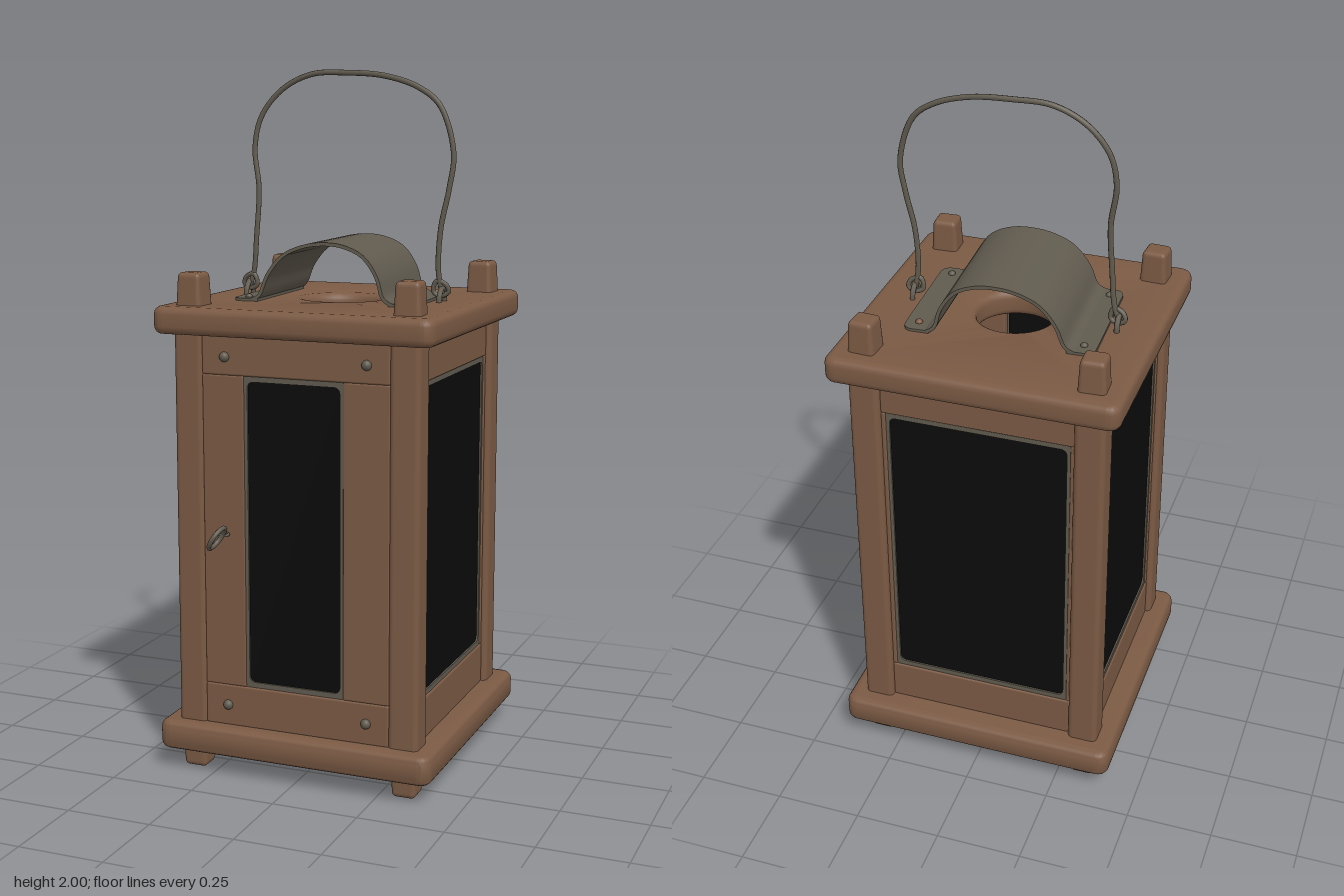
import * as THREE from 'three';
import { RoundedBoxGeometry } from 'three/addons/geometries/RoundedBoxGeometry.js';
import { toCreasedNormals } from 'three/addons/utils/BufferGeometryUtils.js';

const wood = new THREE.MeshStandardMaterial({ name: 'brown wood', color: 0x7b5a44 });
const metal = new THREE.MeshStandardMaterial({ name: 'aged metal', color: 0x615b4f });
const glass = new THREE.MeshStandardMaterial({ name: 'black glass', color: 0x0b0b0b });
const CZ = -0.0275; // depth centre of the body

function add(parent, name, geometry, material, x = 0, y = 0, z = 0) {
  const mesh = new THREE.Mesh(geometry, material);
  mesh.name = name;
  mesh.position.set(x, y, z);
  parent.add(mesh);
  return mesh;
}

const board = (w, h, d, r = 0.012) => new RoundedBoxGeometry(w, h, d, 3, r);

// Rounded rectangle centred on the origin
function roundRect(w, h, r, Type = THREE.Shape) {
  const s = new Type(), x = w / 2, y = h / 2;
  s.moveTo(-x + r, -y).lineTo(x - r, -y).quadraticCurveTo(x, -y, x, -y + r);
  s.lineTo(x, y - r).quadraticCurveTo(x, y, x - r, y);
  s.lineTo(-x + r, y).quadraticCurveTo(-x, y, -x, y - r);
  s.lineTo(-x, -y + r).quadraticCurveTo(-x, -y, -x + r, -y);
  return s;
}

// Horizontal slab with softened edges and an optional round hole
function slab(w, d, h, hole) {
  const b = 0.022;
  const shape = roundRect(w - 2 * b, d - 2 * b, 0.015);
  if (hole) shape.holes.push(new THREE.Path().absarc(0, 0, hole + b, 0, Math.PI * 2, true));
  const geo = new THREE.ExtrudeGeometry(shape, {
    depth: h - 2 * b, bevelThickness: b, bevelSize: b, bevelSegments: 4, curveSegments: 20,
  });
  geo.translate(0, 0, b - h / 2).rotateX(-Math.PI / 2);
  return toCreasedNormals(geo, 0.6);
}

// Square peg that narrows towards its end
function peg(w, h, taper) {
  const geo = board(w, h, w, 0.014), p = geo.attributes.position;
  for (let i = 0; i < p.count; i++) {
    const k = 1 - taper * (p.getY(i) / h + 0.5);
    p.setX(i, p.getX(i) * k);
    p.setZ(i, p.getZ(i) * k);
  }
  geo.computeVertexNormals();
  return geo;
}

// Framed window facing +z, with its outer face at z = 0
function windowPanel(name, glassW, glassX) {
  const g = new THREE.Group(), W = 0.56, T = 0.04;
  g.name = name;
  add(g, 'topRail', board(W, 0.118, T, 0.006), wood, 0, 1.222, -T / 2);
  add(g, 'bottomRail', board(W, 0.122, T, 0.006), wood, 0, 0.204, -T / 2);
  for (const s of [-1, 1]) {
    const inner = glassX + s * (glassW / 2 + 0.006), outer = s * W / 2;
    add(g, 'stile', board(Math.abs(outer - inner), 0.9, T, 0.005), wood,
      (inner + outer) / 2, 0.714, -T / 2 - 0.001);
  }
  const rim = roundRect(glassW + 0.02, 0.9, 0.012);
  rim.holes.push(roundRect(glassW - 0.008, 0.868, 0.02, THREE.Path));
  add(g, 'windowRim', new THREE.ExtrudeGeometry(rim, { depth: 0.008, bevelEnabled: false }),
    metal, glassX, 0.714, -0.013);
  add(g, 'pane', new THREE.BoxGeometry(glassW, 0.885, 0.008), glass, glassX, 0.714, -0.014);
  return g;
}

// Small domed nail head pointing up (+y)
const nail = (r) => new THREE.SphereGeometry(r, 12, 6, 0, Math.PI * 2, 0, Math.PI / 2);

const wire = (points, r, closed = false) => new THREE.TubeGeometry(
  new THREE.CatmullRomCurve3(points.map((p) => new THREE.Vector3(...p)), closed),
  points.length * 8, r, 8, closed);

export function createModel() {
  const model = new THREE.Group();
  model.name = 'lantern';

  // Base and roof boards
  add(model, 'baseBoard', slab(0.83, 0.825, 0.085), wood, 0, 0.103, CZ);
  add(model, 'roofBoard', slab(0.83, 0.825, 0.078, 0.11), wood, 0, 1.313, CZ);

  // Corner posts, with feet below and pegs above
  for (const x of [-0.322, 0.322]) {
    for (const z of [0.298, -0.343]) {
      add(model, 'cornerPost', board(0.088, 1.16, 0.086, 0.016), wood, x, 0.71, z);
      const top = add(model, 'roofPeg', peg(0.082, 0.13, 0.16), wood, x, 1.378, z - 0.003);
      top.rotation.y = x * z > 0 ? 0.05 : -0.06;
      const foot = add(model, 'foot', peg(0.078, 0.09, 0.12), wood, x, 0.045, z);
      foot.rotation.x = Math.PI;
    }
  }

  // Door and the three fixed windows
  const door = windowPanel('door', 0.285, -0.005);
  door.position.z = 0.337;
  model.add(door);
  const back = windowPanel('backWindow', 0.52, 0);
  back.position.z = -0.368;
  back.rotation.y = Math.PI;
  model.add(back);
  for (const s of [-1, 1]) {
    const side = windowPanel(s > 0 ? 'leftWindow' : 'rightWindow', 0.52, 0);
    side.position.set(s * 0.35, 0, -0.023);
    side.rotation.y = s * Math.PI / 2;
    model.add(side);
  }

  // Door nails and pull ring
  for (const x of [-0.21, 0.213]) {
    for (const y of [0.205, 1.215]) {
      add(model, 'doorNail', nail(0.015), metal, x, y, 0.336).rotation.x = Math.PI / 2;
    }
  }
  const ring = add(model, 'pullRing', new THREE.TorusGeometry(0.035, 0.007, 8, 28), metal, -0.21, 0.712, 0.398);
  ring.rotation.set(0, Math.PI / 2, -0.55, 'ZYX');
  const eye = add(model, 'ringStaple', new THREE.TorusGeometry(0.012, 0.005, 6, 14), metal, -0.21, 0.712, 0.352);
  eye.rotation.x = Math.PI / 2;

  // Arched smoke cowl with riveted flanges
  const cowl = new THREE.Group();
  cowl.name = 'smokeCowl';
  cowl.position.set(0, 1.352, -0.03);
  cowl.rotation.y = 0.04;
  model.add(cowl);
  const arc = new THREE.CatmullRomCurve3([
    [-0.215, 0.003], [-0.19, 0.018], [-0.165, 0.075], [-0.12, 0.13], [-0.06, 0.158], [0, 0.167],
    [0.06, 0.162], [0.12, 0.135], [0.16, 0.08], [0.18, 0.02], [0.205, 0.003],
  ].map(([x, y]) => new THREE.Vector3(x, y, 0)));
  const outer = [], inner = [];
  for (let i = 0; i <= 40; i++) {
    const p = arc.getPoint(i / 40), t = arc.getTangent(i / 40);
    outer.push(new THREE.Vector2(p.x - t.y * 0.005, p.y + t.x * 0.005));
    inner.unshift(new THREE.Vector2(p.x + t.y * 0.005, p.y - t.x * 0.005));
  }
  const arch = new THREE.ExtrudeGeometry(new THREE.Shape([...outer, ...inner]), { depth: 0.372, bevelEnabled: false });
  arch.translate(0, 0, -0.186);
  add(cowl, 'arch', toCreasedNormals(arch, 0.7), metal);
  for (const s of [-1, 1]) {
    const flange = new THREE.Shape();
    flange.moveTo(0.195, -0.186).lineTo(0.245, -0.186).quadraticCurveTo(0.27, -0.184, 0.272, -0.155);
    flange.lineTo(0.272, 0.155).quadraticCurveTo(0.27, 0.184, 0.245, 0.186).lineTo(0.195, 0.186);
    const geo = new THREE.ExtrudeGeometry(flange, { depth: 0.01, bevelEnabled: false });
    geo.rotateX(-Math.PI / 2).translate(0, -0.002, 0);
    add(cowl, 'flange', geo, metal).rotation.y = s > 0 ? 0 : Math.PI;
    for (const z of [-0.145, 0.15]) {
      add(cowl, 'rivet', nail(0.011), s > 0 && z < 0 ? wood : metal, s * 0.235, 0.007, z);
    }
  }

  // Wire handle, with a staple and twisted loop at each end
  add(model, 'handle', wire([
    [-0.3, 1.375, -0.03], [-0.285, 1.42, -0.028], [-0.275, 1.52, -0.025], [-0.268, 1.66, -0.03],
    [-0.282, 1.78, -0.035], [-0.262, 1.87, -0.04], [-0.2, 1.945, -0.046], [-0.11, 1.988, -0.05],
    [0, 1.992, -0.053], [0.12, 1.982, -0.05], [0.22, 1.95, -0.046], [0.285, 1.9, -0.041],
    [0.328, 1.77, -0.036], [0.318, 1.67, -0.03], [0.296, 1.56, -0.026], [0.29, 1.44, -0.026],
    [0.3, 1.375, -0.03],
  ], 0.008), metal);
  for (const s of [-1, 1]) {
    add(model, 'staple', wire([
      [s * 0.3, 1.34, -0.055], [s * 0.3, 1.37, -0.05], [s * 0.3, 1.39, -0.03],
      [s * 0.3, 1.37, -0.008], [s * 0.3, 1.34, -0.003],
    ], 0.008), metal);
    add(model, 'handleLoop', wire([
      [s * 0.285, 1.41, -0.026], [s * 0.312, 1.4, -0.03], [s * 0.318, 1.38, -0.034],
      [s * 0.295, 1.368, -0.032], [s * 0.275, 1.38, -0.028],
    ], 0.007, true), metal);
  }
  return model;
}
